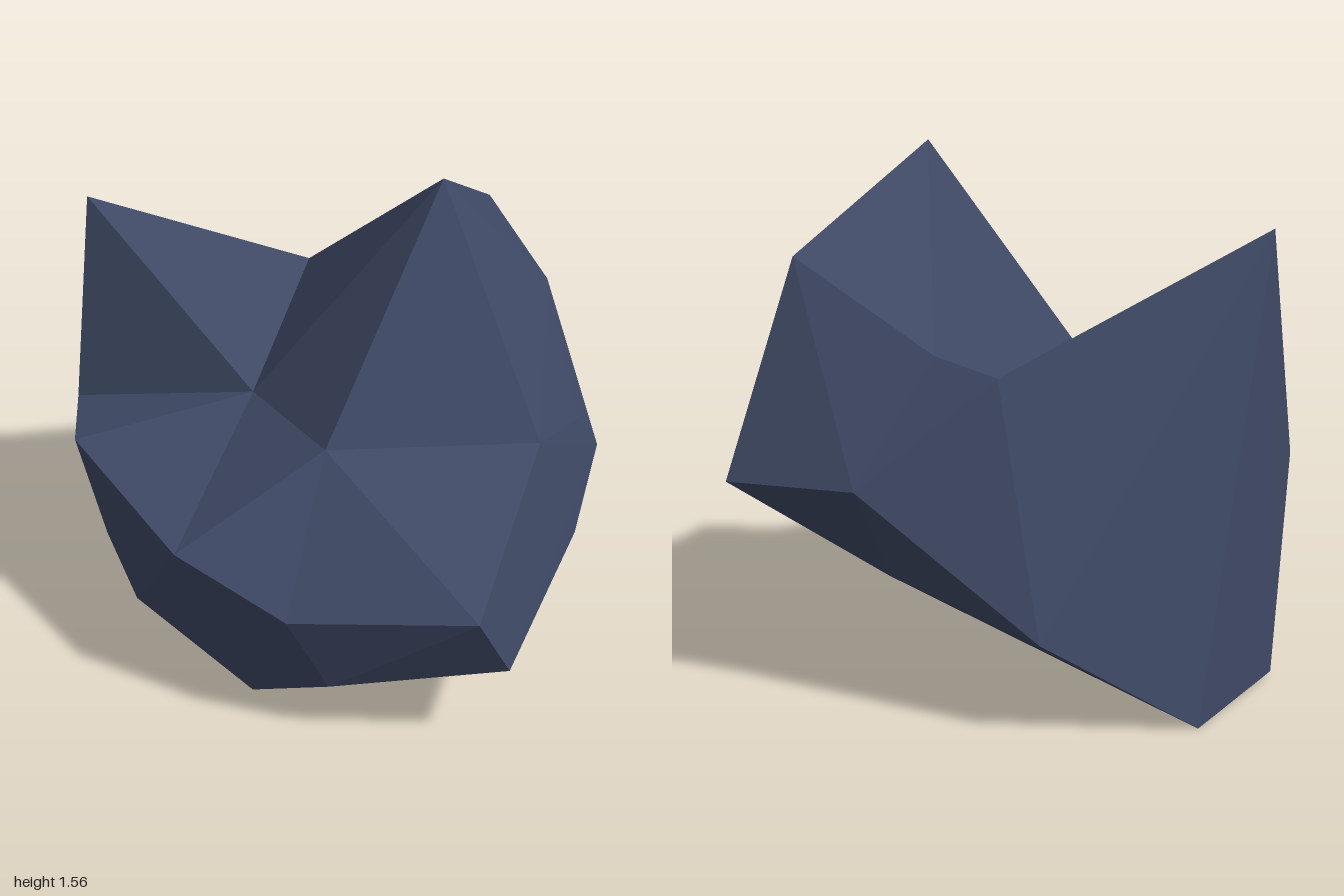
import * as THREE from 'three';
import { ConvexGeometry } from 'three/addons/geometries/ConvexGeometry.js';

// Key corners of the boulder; neighbouring masses share them so their facets meet.
const corner = {
  peak: [0.27, 1.56, 0.20], spurTip: [-0.71, 1.33, -0.54], shoulder: [0.65, 1.25, -0.46],
  notch: [-0.27, 0.82, -0.02], ledgeL: [-0.15, 0.865, 0.48], ledgeR: [0.495, 0.83, 0.525],
  saddle: [0.08, 0.95, -0.765], ridge: [0.25, 1.0, -0.69],
  sideHigh: [0.67, 1.15, 0.06], sideLow: [0.71, 0.77, 0.30],
  nose: [0.16, 0.56, 1.0], chin: [0.28, 0.34, 0.94], cheek: [-0.33, 0.48, 0.76],
  rimFront: [-0.61, 0.61, 0.535], rimSide: [-0.84, 0.72, -0.02], rimBack: [-0.80, 0.66, -0.44],
  eastBack: [0.835, 0.64, -0.635], eastFront: [0.805, 0.635, 0.25], eastLow: [0.65, 0.465, 0.48],
  rear: [-0.02, 0.28, -1.0], rearHigh: [0.47, 0.65, -0.81],
  footRear: [-0.46, 0, -0.91], footSide: [-0.735, 0.02, -0.56], footMid: [-0.68, 0.05, -0.08],
  footFront: [-0.38, 0.015, 0.45], underFront: [-0.20, 0.21, 0.73], underMid: [0.23, 0.115, 0.40],
  underEast: [0.52, 0.31, 0.10], underBack: [0.39, 0.30, -0.46], belly: [-0.03, 0.12, -0.30],
};

// Each faceted mass is the convex solid spanned by its corners; valleys run along the seams.
const masses = {
  frontLedge: ['notch', 'ledgeL', 'ledgeR', 'nose', 'chin', 'cheek', 'eastFront', 'eastLow',
    'underFront', 'footFront', 'underMid', 'underEast', 'underBack', 'belly'],
  frontCorner: ['notch', 'ledgeL', 'cheek', 'rimFront', 'underFront', 'footFront', 'footMid', 'belly'],
  sideFlank: ['notch', 'rimFront', 'rimSide', 'rimBack', 'footSide', 'footMid'],
  rearBase: ['notch', 'rear', 'rearHigh', 'footRear', 'footSide', 'footMid', 'belly', 'underBack'],
  eastBase: ['notch', 'ledgeR', 'eastFront', 'eastBack', 'rearHigh', 'underEast', 'underBack'],
  peakEast: ['peak', 'shoulder', 'sideHigh', 'sideLow', 'ridge', 'notch', 'ledgeL', 'ledgeR',
    'eastFront', 'eastBack', 'rearHigh'],
  peakRear: ['peak', 'ridge', 'saddle', 'notch', 'rearHigh', 'rear'],
  sideSpur: ['spurTip', 'rimBack', 'notch', 'saddle', 'footSide', 'footRear', 'rear'],
};

export function createModel() {
  const group = new THREE.Group();
  group.name = 'boulder';
  const stone = new THREE.MeshStandardMaterial({ color: 0x3e4864, flatShading: true });
  stone.name = 'slate blue stone';

  for (const [name, keys] of Object.entries(masses)) {
    const points = keys.map((key) => new THREE.Vector3(...corner[key]));
    const mesh = new THREE.Mesh(new ConvexGeometry(points), stone);
    mesh.name = name;
    group.add(mesh);
  }
  return group;
}
